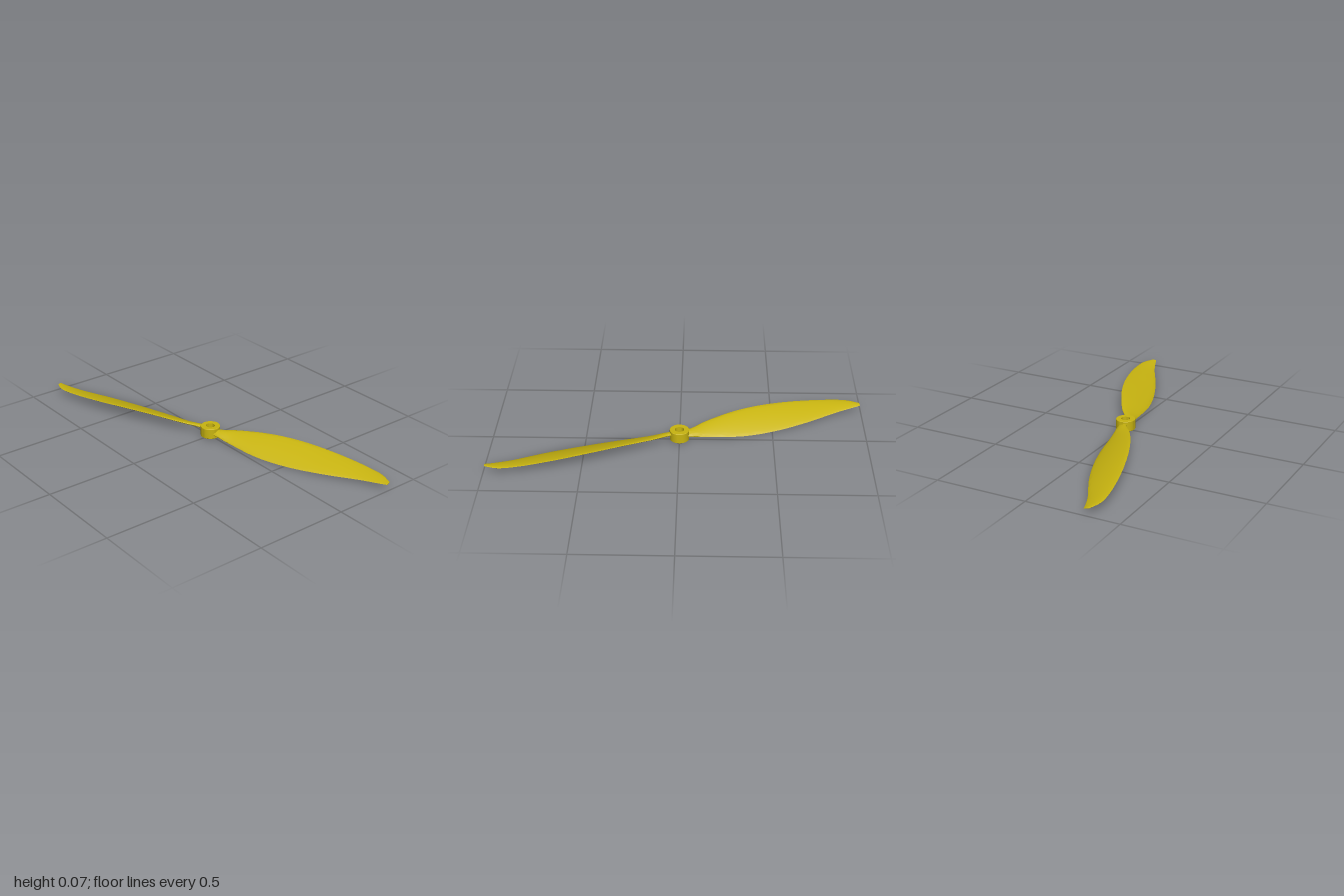
import * as THREE from 'three';
import { toCreasedNormals } from 'three/addons/utils/BufferGeometryUtils.js';

const material = new THREE.MeshStandardMaterial({ color: 0xc8b410, side: THREE.DoubleSide });
const curve = (pts) => new THREE.CatmullRomCurve3(pts.map((p) => new THREE.Vector3(...p)));

// Lower and upper edges of one blade, root to tip, with thickness per station
const lowEdge = curve([
  [-0.022, 0.031, 0.03], [-0.014, 0.027, 0.08], [0, 0.017, 0.153], [0.032, 0.003, 0.34],
  [0.085, 0.003, 0.51], [0.164, 0.012, 0.69], [0.26, 0.024, 0.87], [0.3, 0.032, 0.965], [0.312, 0.036, 0.997],
]);
const highEdge = curve([
  [0.022, 0.042, 0.028], [0.045, 0.046, 0.07], [0.09, 0.055, 0.13], [0.18, 0.07, 0.29],
  [0.25, 0.071, 0.45], [0.312, 0.061, 0.64], [0.352, 0.048, 0.82], [0.359, 0.042, 0.92], [0.338, 0.039, 0.99],
]);
const thickness = curve([0.02, 0.019, 0.016, 0.013, 0.011, 0.009, 0.007, 0.005, 0.003].map((t, i) => [i, t, 0]));

function bladeGeometry(rows = 56, cols = 14) {
  const pos = [], index = [], ring = cols * 2;
  for (let j = 0; j <= rows; j++) {
    const s = j / rows;
    const a = lowEdge.getPoint(s), b = highEdge.getPoint(s), t = thickness.getPoint(s).y;
    const chord = a.distanceTo(b);
    for (let i = 0; i < ring; i++) {
      // Over the top from low edge to high edge, then back underneath
      const u = 0.5 - 0.5 * Math.cos((Math.PI * i) / cols);
      const half = Math.sin((Math.PI * i) / cols) * t * 0.5;
      const camber = 0.1 * chord * u * (1 - u);
      const p = a.clone().lerp(b, u);
      pos.push(p.x, p.y + camber + half, p.z);
    }
  }
  for (let j = 0; j < rows; j++) {
    for (let i = 0; i < ring; i++) {
      const k = (i + 1) % ring, p = j * ring, q = p + ring;
      index.push(p + i, q + i, p + k, p + k, q + i, q + k);
    }
  }
  // Tip cap
  const last = rows * ring;
  for (let i = 1; i < ring - 1; i++) index.push(last, last + i + 1, last + i);
  const g = new THREE.BufferGeometry();
  g.setAttribute('position', new THREE.Float32BufferAttribute(pos, 3));
  g.setIndex(index);
  return toCreasedNormals(g, 0.9);
}

function hubGeometry() {
  const inner = 0.024, outer = 0.052, low = 0.006, high = 0.062, c = 0.002;
  const profile = [
    [inner, low], [outer - c, low], [outer, low + c], [outer, high - c],
    [outer - c, high], [inner, high], [inner, low],
  ].map(([x, y]) => new THREE.Vector2(x, y));
  return toCreasedNormals(new THREE.LatheGeometry(profile, 40), 0.5);
}

export function createModel() {
  const group = new THREE.Group();
  group.name = 'propeller';

  const hub = new THREE.Mesh(hubGeometry(), material);
  hub.name = 'hub';
  group.add(hub);

  // Two blades, half a turn apart
  const geometry = bladeGeometry();
  ['frontBlade', 'backBlade'].forEach((name, i) => {
    const blade = new THREE.Mesh(geometry, material);
    blade.name = name;
    blade.rotation.y = i * Math.PI;
    group.add(blade);
  });
  return group;
}
